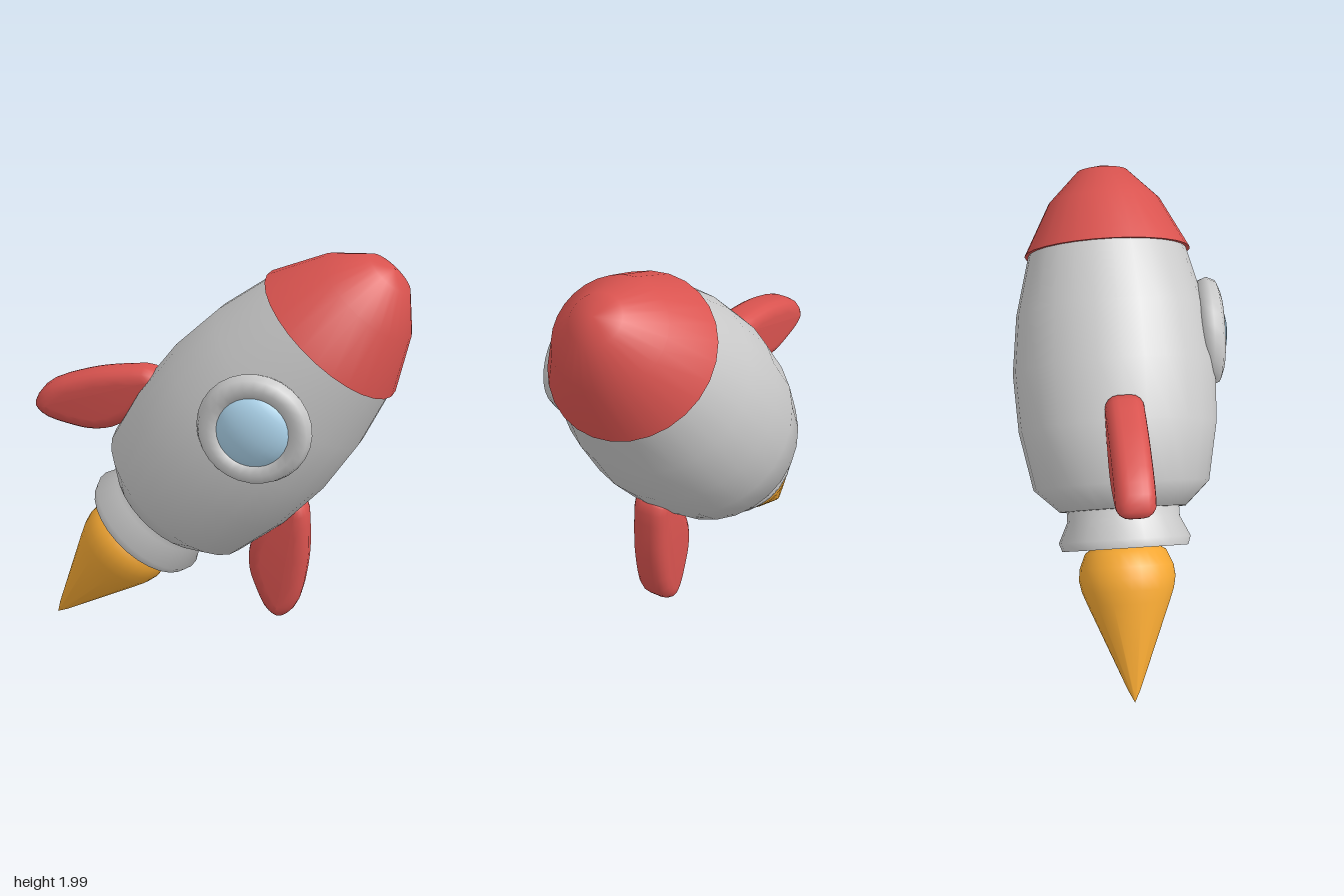
import * as THREE from 'three';
import { toCreasedNormals } from 'three/addons/utils/BufferGeometryUtils.js';

const mat = (color, side = THREE.FrontSide) => new THREE.MeshStandardMaterial({ color, side });
const GREY = mat(0xcccccc);
const RED = mat(0xd9534f);
const ORANGE = mat(0xf5a833);
const GLASS = mat(0xb0d8f0);

const vec2 = (pts) => pts.map(([x, y]) => new THREE.Vector2(x, y));

function addMesh(parent, name, geometry, material) {
  const mesh = new THREE.Mesh(geometry, material);
  mesh.name = name;
  parent.add(mesh);
  return mesh;
}

// Turned part: [radius, height] pairs listed from bottom to top
const turned = (profile) => toCreasedNormals(new THREE.LatheGeometry(vec2(profile), 28), 1.15);

// Pillow-edged fin, drawn on the +x side of the hull
function finGeometry() {
  const outline = new THREE.CatmullRomCurve3([
    [0.42, 1.37], [0.475, 1.39], [0.591, 1.286], [0.703, 1.145], [0.8, 0.952], [0.781, 0.851],
    [0.712, 0.839], [0.589, 0.893], [0.502, 0.95], [0.43, 1.04], [0.39, 1.2],
  ].map(([x, y]) => new THREE.Vector3(x, y, 0)), true);
  const shape = new THREE.Shape(outline.getPoints(32).slice(0, -1).map((p) => new THREE.Vector2(p.x, p.y)));
  const geometry = new THREE.ExtrudeGeometry(shape, {
    depth: 0.056, bevelSize: 0.06, bevelThickness: 0.06, bevelOffset: -0.06, bevelSegments: 4,
  });
  geometry.translate(0, 0, -0.028);
  return toCreasedNormals(geometry, 0.9);
}

export function createModel() {
  const model = new THREE.Group();
  model.name = 'rocket';

  // The rocket is built upright from its flame tip, then leaned over
  const rocket = new THREE.Group();
  rocket.name = 'tiltedRocket';
  rocket.position.set(-0.835, 0.005, -0.034);
  rocket.rotation.z = -THREE.MathUtils.degToRad(40);
  model.add(rocket);

  addMesh(rocket, 'flame', turned([
    [0, 0], [0.03, 0.06], [0.192, 0.46], [0.215, 0.52], [0.226, 0.575], [0.22, 0.63],
    [0.19, 0.7], [0.12, 0.745], [0, 0.76],
  ]), ORANGE);

  addMesh(rocket, 'nozzle', turned([
    [0, 0.73], [0.27, 0.73], [0.295, 0.715], [0.309, 0.755], [0.264, 0.85], [0.264, 0.93], [0, 0.93],
  ]), GREY);

  addMesh(rocket, 'hull', turned([
    [0, 0.89], [0.295, 0.897], [0.412, 1.007], [0.465, 1.28], [0.477, 1.555], [0.445, 1.828],
    [0.372, 2.112], [0, 2.112],
  ]), GREY);

  addMesh(rocket, 'noseCone', turned([
    [0, 2.107], [0.391, 2.107], [0.264, 2.35], [0.12, 2.497], [0, 2.528],
  ]), RED);

  // Porthole on the front
  const porthole = new THREE.Group();
  porthole.name = 'porthole';
  porthole.position.set(0, 1.71, 0.452);
  rocket.add(porthole);
  addMesh(porthole, 'portholeRing', new THREE.TorusGeometry(0.201, 0.057, 8, 28), GREY);
  const glass = addMesh(porthole, 'portholeGlass', new THREE.SphereGeometry(0.18, 24, 16), GLASS);
  glass.scale.z = 0.5;

  // Pair of fins, the second turned half round the hull
  const fin = finGeometry();
  for (const [name, turn] of [['leftFin', 0], ['rightFin', Math.PI]]) {
    addMesh(rocket, name, fin, RED).rotation.y = turn;
  }
  return model;
}
